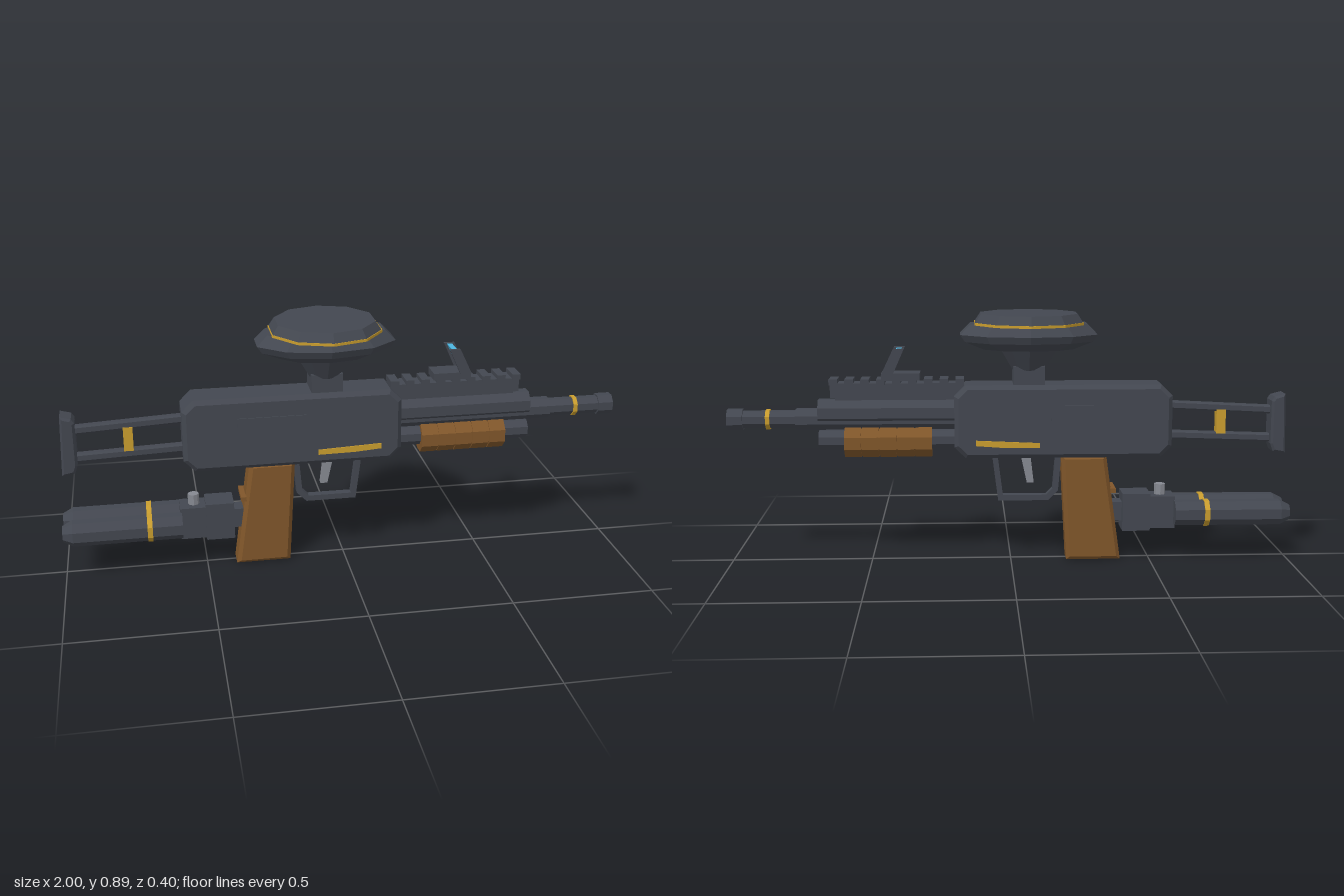
import * as THREE from 'three';

const mat = (name, color) => {
  const m = new THREE.MeshStandardMaterial({ color });
  m.name = name;
  return m;
};

export function createModel() {
  const root = new THREE.Group();
  root.name = 'paintMarker';
  const metal = mat('darkMetal', 0x434750);
  const wood = mat('brownGrip', 0x80562a);
  const gold = mat('goldTrim', 0xc99d2e);
  const glass = mat('blueGlass', 0x4cb6e0);
  const steel = mat('lightSteel', 0x868991);

  // Faceted mesh helper
  const add = (name, geo, material, x = 0, y = 0, z = 0) => {
    const g = geo.index ? geo.toNonIndexed() : geo;
    g.computeVertexNormals();
    const mesh = new THREE.Mesh(g, material);
    mesh.name = name;
    mesh.position.set(x, y, z);
    root.add(mesh);
    return mesh;
  };
  // Box given by its limits in x and y, and half depth in z
  const box = (name, m, x0, x1, y0, y1, hz, z = 0) =>
    add(name, new THREE.BoxGeometry(x1 - x0, y1 - y0, hz * 2), m, (x0 + x1) / 2, (y0 + y1) / 2, z);
  // Octagonal tube along x; a0 and a1 are flat-to-centre distances at its ends
  const tube = (name, m, x0, x1, a0, y, z = 0, a1 = a0) => {
    const k = 1 / Math.cos(Math.PI / 8);
    const g = new THREE.CylinderGeometry(a1 * k, a0 * k, x1 - x0, 8);
    g.rotateY(Math.PI / 8).rotateZ(-Math.PI / 2);
    return add(name, g, m, (x0 + x1) / 2, y, z);
  };
  // Side profile extruded symmetrically in z, with chamfered edges
  const slab = (name, m, pts, hz, bevel = 0, hole) => {
    const shape = new THREE.Shape(pts.map(p => new THREE.Vector2(...p)));
    if (hole) shape.holes.push(new THREE.Path(hole.map(p => new THREE.Vector2(...p))));
    const g = new THREE.ExtrudeGeometry(shape, {
      depth: 2 * (hz - bevel), bevelEnabled: bevel > 0, bevelSegments: 1,
      bevelSize: bevel, bevelThickness: bevel, bevelOffset: -bevel,
    });
    g.translate(0, 0, bevel - hz);
    return add(name, g, m);
  };
  const lathe = (name, m, pts, sides, x, sz = 1) => {
    const g = new THREE.LatheGeometry(pts.map(p => new THREE.Vector2(...p)), sides);
    g.scale(1, 1, sz);
    return add(name, g, m, x);
  };

  // Receiver with cut corners
  const c = 0.04;
  slab('receiver', metal, [
    [-0.57 + c, 0.38], [0.2 - c, 0.38], [0.2, 0.38 + c], [0.2, 0.64 - c],
    [0.2 - c, 0.64], [-0.57 + c, 0.64], [-0.57, 0.64 - c], [-0.57, 0.38 + c],
  ], 0.075, 0.015);
  for (const s of [-1, 1]) {
    box('sidePanel', metal, -0.38, -0.14, 0.515, 0.57, 0.003, s * 0.076);
    slab('goldStripe', gold, [[-0.1, 0.418], [0.03, 0.42], [0.125, 0.427], [0.125, 0.446], [-0.1, 0.436]], 0.003)
      .position.z = s * 0.076;
  }

  // Hopper: neck and funnel, oval bowl, gold seam, round lid
  const hx = -0.063;
  box('feedNeck', metal, hx - 0.055, hx + 0.055, 0.63, 0.705, 0.055);
  lathe('funnel', metal, [[0, 0.69], [0.06, 0.69], [0.105, 0.765], [0, 0.765]], 10, hx);
  lathe('hopperBowl', metal, [[0, 0.757], [0.165, 0.762], [0.235, 0.79], [0.253, 0.815], [0.215, 0.852], [0, 0.857]], 10, hx, 0.635);
  lathe('lidSeam', gold, [[0, 0.849], [0.2, 0.849], [0.2, 0.858], [0, 0.858]], 10, hx);
  lathe('hopperLid', metal, [[0, 0.857], [0.198, 0.857], [0.177, 0.888], [0, 0.888]], 10, hx);

  // Barrel and muzzle
  tube('barrelShroud', metal, 0.18, 0.68, 0.045, 0.54);
  tube('barrel', metal, 0.18, 0.76, 0.036, 0.515);
  tube('barrelFront', metal, 0.74, 0.96, 0.03, 0.515);
  tube('muzzle', metal, 0.945, 1, 0.036, 0.515);
  tube('barrelRing', gold, 0.85, 0.865, 0.034, 0.515);

  // Pump tube and segmented fore grip
  tube('pumpTube', metal, 0.18, 0.68, 0.033, 0.44);
  tube('foreGripCore', wood, 0.285, 0.585, 0.049, 0.433);
  for (let i = 0; i < 5; i++)
    tube('foreGripSegment', wood, 0.28 + i * 0.0625, 0.3385 + i * 0.0625, 0.053, 0.433);

  // Top rail with teeth
  box('rail', metal, 0.165, 0.635, 0.595, 0.645, 0.036);
  box('railBase', metal, 0.19, 0.62, 0.57, 0.6, 0.02);
  for (let i = 0; i < 9; i++)
    box('railTooth', metal, 0.165 + i * 0.0555, 0.195 + i * 0.0555, 0.64, 0.66, 0.04);

  // Tilted sight: two cheeks holding a pane
  box('sightBase', metal, 0.32, 0.455, 0.655, 0.68, 0.042);
  const cheek = [[0.415, 0.675], [0.456, 0.675], [0.412, 0.767], [0.374, 0.767]];
  for (const s of [-1, 1]) slab('sightFrame', metal, cheek, 0.005, 0).position.z = s * 0.042;
  slab('sightGlass', glass, [[0.426, 0.675], [0.446, 0.675], [0.403, 0.764], [0.384, 0.764]], 0.038);

  // Grip with cross pin
  slab('grip', wood, [[-0.395, 0], [-0.2, 0], [-0.178, 0.385], [-0.34, 0.385]], 0.05, 0.014);
  box('gripPin', wood, -0.375, -0.355, 0.248, 0.264, 0.053);

  // Trigger guard and trigger
  slab('triggerGuard', metal,
    [[-0.182, 0.385], [-0.17, 0.25], [-0.135, 0.215], [0.045, 0.215], [0.067, 0.385]], 0.015, 0,
    [[-0.16, 0.375], [-0.15, 0.258], [-0.127, 0.235], [0.028, 0.235], [0.046, 0.375]]);
  slab('trigger', steel, [[-0.083, 0.28], [-0.058, 0.28], [-0.035, 0.385], [-0.07, 0.385]], 0.012);

  // Skeleton stock
  for (const [y0, y1] of [[0.54, 0.56], [0.438, 0.452]])
    slab('stockRod', metal, [[-0.945, y0 - 0.015], [-0.55, y1 - 0.015], [-0.55, y1 + 0.015], [-0.945, y0 + 0.015]], 0.016, 0.006);
  box('stockStrut', gold, -0.77, -0.737, 0.455, 0.542, 0.018);
  slab('buttPlate', metal, [[-0.985, 0.385], [-0.94, 0.392], [-0.93, 0.42], [-0.93, 0.575], [-0.94, 0.59], [-0.978, 0.6]], 0.042, 0.008);

  // Twin air tanks with gold bands
  for (const s of [-1, 1]) {
    const z = s * 0.054;
    tube('airTank', metal, -0.965, -0.585, 0.043, 0.175, z);
    tube('tankNose', metal, -1, -0.965, 0.026, 0.175, z, 0.043);
    tube('tankBand', gold, -0.708, -0.69, 0.046, 0.175, z);
  }

  // Regulator blocks and valve knob
  box('tankBlock', metal, -0.59, -0.495, 0.115, 0.232, 0.045);
  box('regulatorBlock', metal, -0.5, -0.4, 0.107, 0.243, 0.05);
  box('regulatorLink', metal, -0.41, -0.36, 0.14, 0.21, 0.03);
  add('valveKnob', new THREE.CylinderGeometry(0.02, 0.02, 0.045, 8), steel, -0.54, 0.248, 0);

  return root;
}
